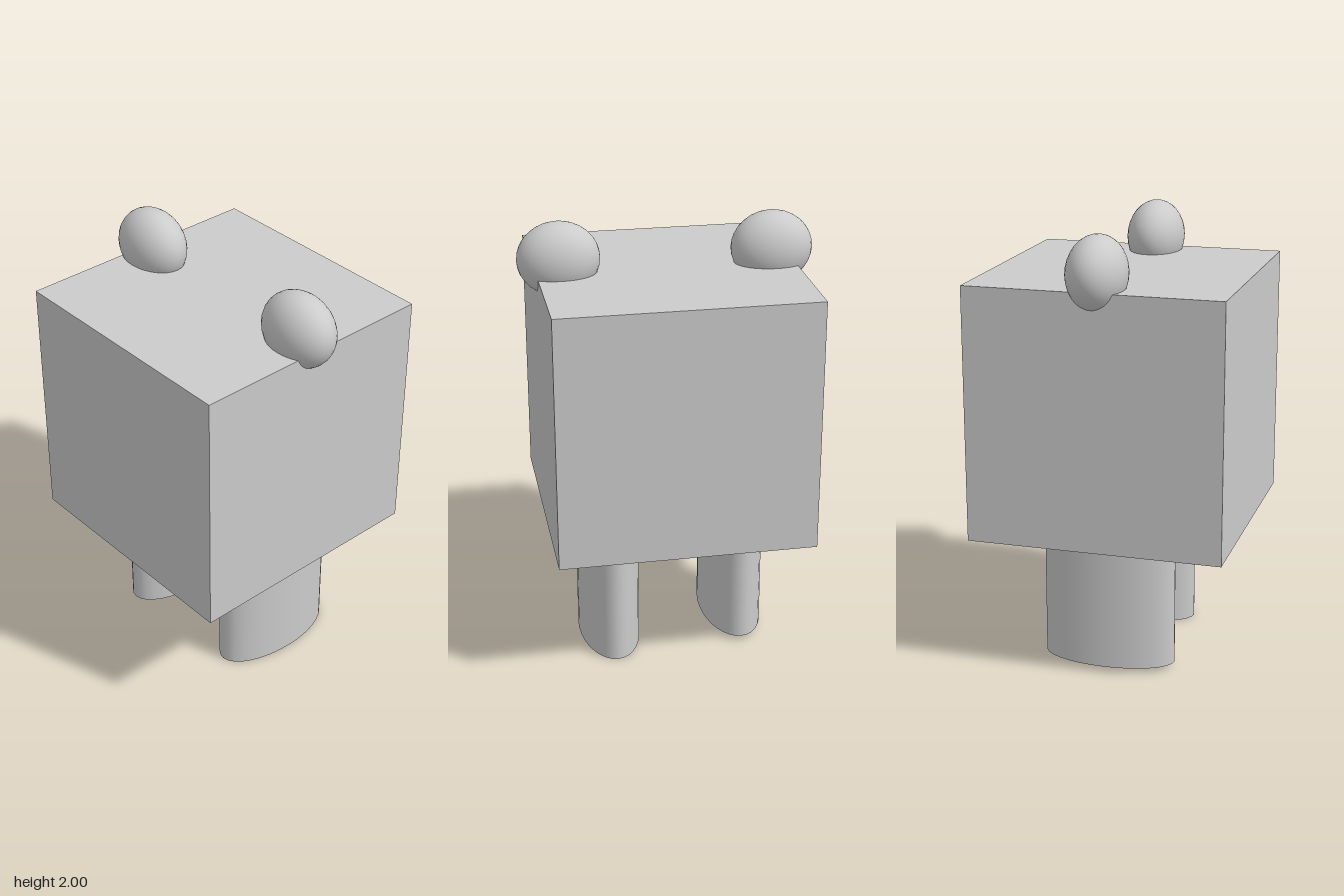
import * as THREE from 'three';

const BODY_SIZE = 1.15;
const BODY_BOTTOM = 0.62;

export function createModel() {
  const model = new THREE.Group();
  const material = new THREE.MeshStandardMaterial({ color: 0xcccccc });

  const add = (name, geometry, x, y, z) => {
    const mesh = new THREE.Mesh(geometry, material);
    mesh.name = name;
    mesh.position.set(x, y, z);
    model.add(mesh);
  };

  // Cube body
  add('body', new THREE.BoxGeometry(BODY_SIZE, BODY_SIZE, BODY_SIZE), 0, BODY_BOTTOM + BODY_SIZE / 2, 0);

  // Egg-shaped ears, half sunk into the top edges
  for (const [name, side] of [['leftEar', 1], ['rightEar', -1]]) {
    const ear = new THREE.SphereGeometry(1, 32, 16).scale(0.183, 0.165, 0.131);
    add(name, ear, side * 0.475, 1.835, 0);
  }

  // Oval legs, slightly uneven in height and placement
  const addLeg = (name, x, bottom, z) => {
    const height = BODY_BOTTOM + 0.03 - bottom;
    const leg = new THREE.CylinderGeometry(1, 1, height, 32).scale(0.14, 1, 0.303);
    add(name, leg, x, bottom + height / 2, z);
  };
  addLeg('leftLeg', 0.29, 0, -0.052);
  addLeg('rightLeg', -0.305, 0.025, 0.002);

  return model;
}
